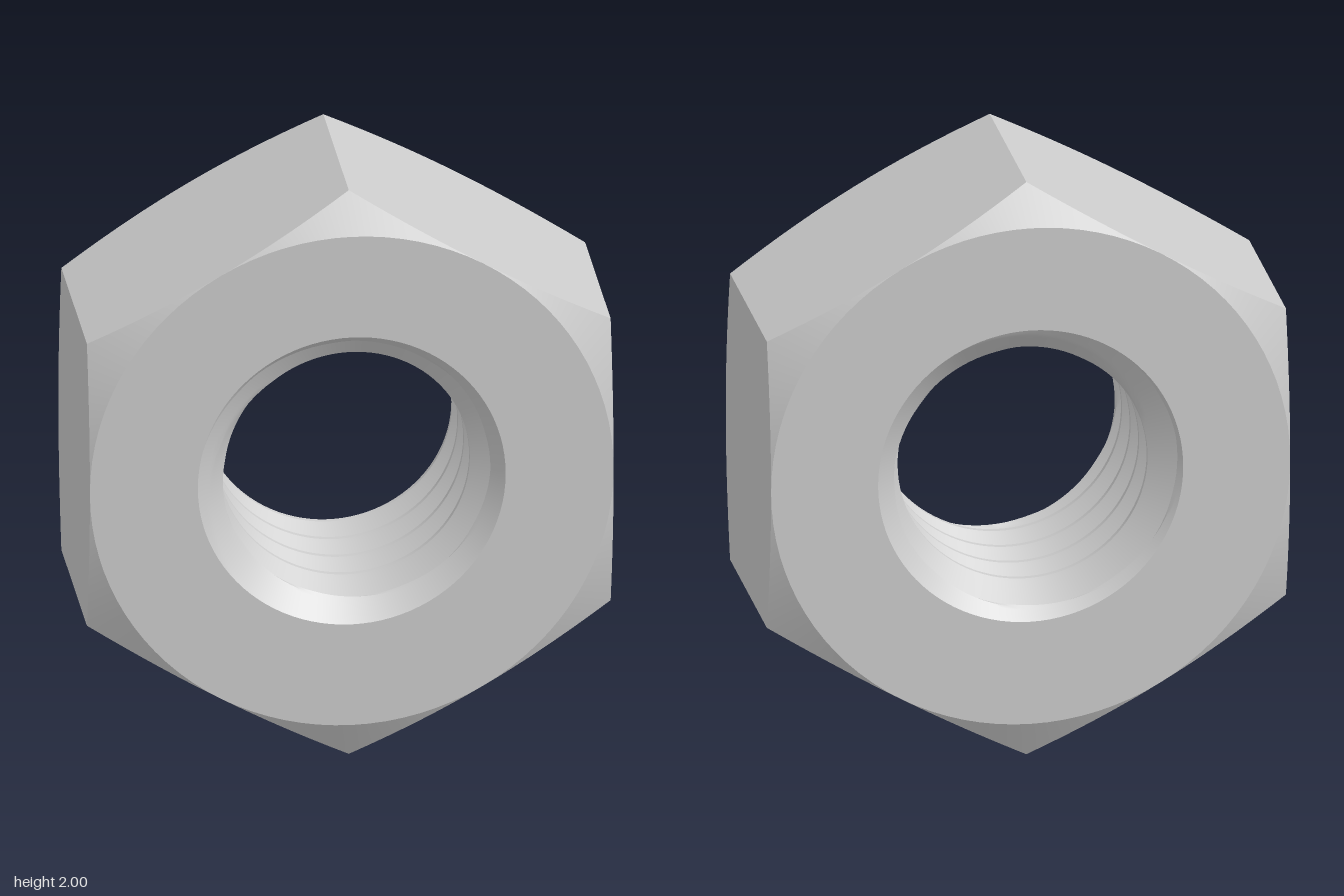
import * as THREE from 'three';
import { toCreasedNormals } from 'three/addons/utils/BufferGeometryUtils.js';

const SEGMENTS = 96;
const HALF = 0.407;              // half thickness of the nut
const APOTHEM = Math.sqrt(3) / 2; // half the width across flats
const MAJOR = 0.509, MINOR = 0.41, PITCH = 0.153;

// Sweep a section of [radius, z] points, which may vary with angle, around z.
function sweep(section) {
  const columns = [];
  for (let i = 0; i <= SEGMENTS; i++) {
    const a = -Math.PI + (i / SEGMENTS) * Math.PI * 2;
    columns.push(section(a).map(([r, z]) => new THREE.Vector3(r * Math.cos(a), r * Math.sin(a), z)));
  }
  const positions = [];
  const triangle = new THREE.Triangle();
  const addFace = (a, b, c) => {
    if (triangle.set(a, b, c).getArea() < 1e-9) return; // skip collapsed faces
    for (const p of [a, b, c]) positions.push(p.x, p.y, p.z);
  };
  for (let i = 0; i < SEGMENTS; i++) {
    for (let j = 0; j < columns[i].length - 1; j++) {
      const a = columns[i][j], b = columns[i + 1][j];
      const c = columns[i + 1][j + 1], d = columns[i][j + 1];
      addFace(a, d, c);
      addFace(a, c, b);
    }
  }
  const geometry = new THREE.BufferGeometry();
  geometry.setAttribute('position', new THREE.Float32BufferAttribute(positions, 3));
  return toCreasedNormals(geometry, 0.4);
}

// Hexagon with corners up and down, its corners trimmed by a 30 degree cone.
function bodySection(angle) {
  const side = Math.PI / 3;
  const offset = angle - Math.round(angle / side) * side;
  const r = APOTHEM / Math.cos(offset);
  const z = HALF - (r - APOTHEM) * Math.tan(Math.PI / 6);
  return [[MAJOR, HALF], [APOTHEM, HALF], [r, z], [r, -z], [APOTHEM, -HALF], [MAJOR, -HALF]];
}

// One thread turn as [fraction of pitch, radius]: root, flank, crest, flank.
const turn = [[0, MAJOR], [1 / 8, MAJOR]];
const FLANK_STEPS = 9;
for (let k = 1; k <= FLANK_STEPS; k++) {
  const f = k / FLANK_STEPS;
  turn.push([1 / 8 + f * 3 / 8, MAJOR + (MINOR - MAJOR) * f]);
}
for (let k = 0; k < FLANK_STEPS; k++) {
  const f = k / FLANK_STEPS;
  turn.push([5 / 8 + f * 3 / 8, MINOR + (MAJOR - MINOR) * f]);
}

// Right-handed thread, opened by a 45 degree countersink at both ends.
function threadSection(angle) {
  const shift = (Math.PI - angle) / (Math.PI * 2);
  const points = [];
  for (let n = -1; n <= 6; n++) {
    for (const [u, radius] of turn) {
      const z = THREE.MathUtils.clamp(HALF - PITCH * (n + u + shift), -HALF, HALF);
      const countersink = MAJOR - (HALF - Math.abs(z));
      points.push([Math.max(radius, countersink), z]);
    }
  }
  return points.reverse();
}

export function createModel() {
  const model = new THREE.Group();
  model.name = 'hexNut';
  const material = new THREE.MeshStandardMaterial({ color: 0xcccccc });
  const parts = { nutBody: bodySection, threadedHole: threadSection };
  for (const [name, section] of Object.entries(parts)) {
    const mesh = new THREE.Mesh(sweep(section), material);
    mesh.name = name;
    mesh.position.y = 1;
    model.add(mesh);
  }
  return model;
}
